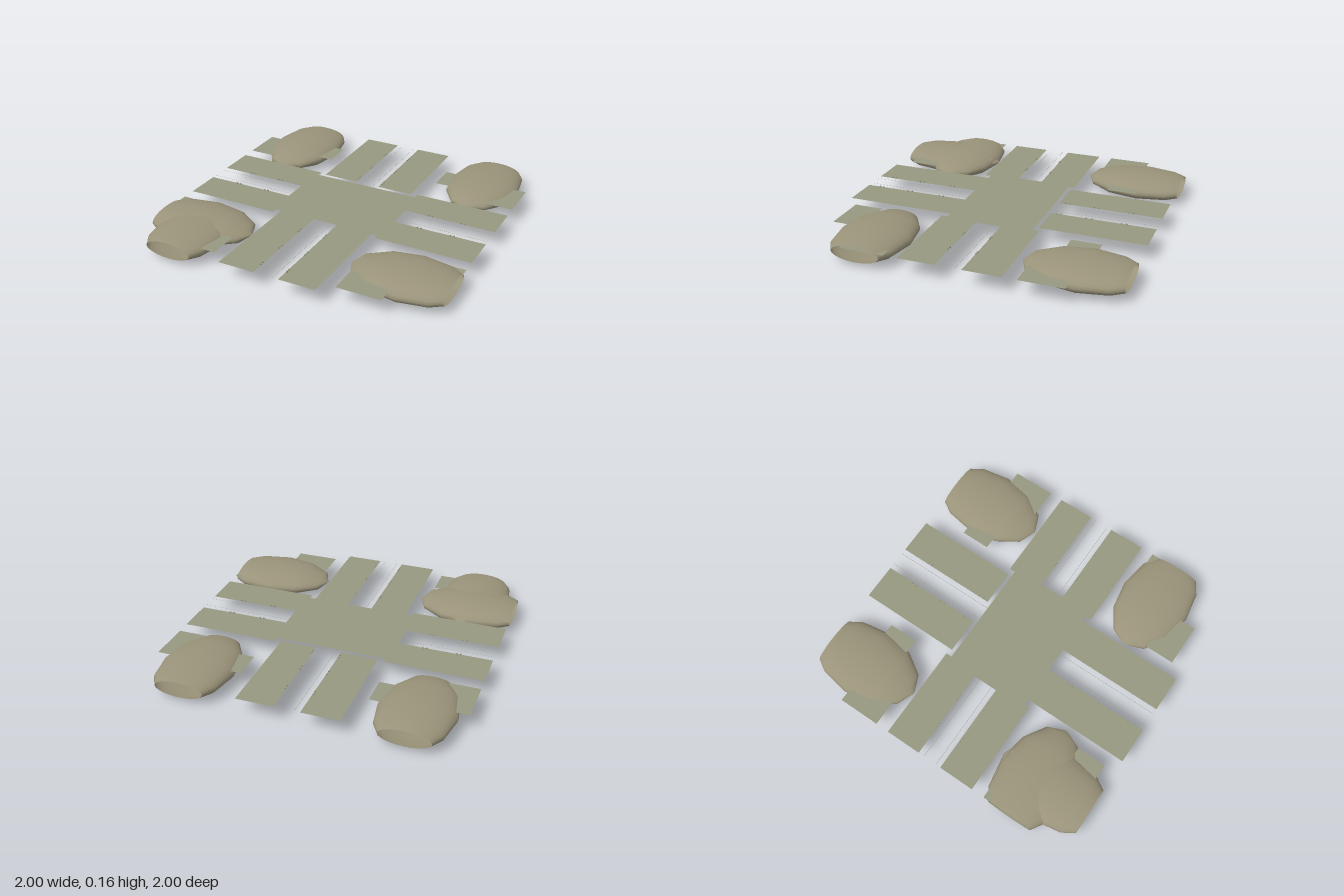
import * as THREE from 'three';

const FLOOR = 0.107;
const paving = new THREE.MeshStandardMaterial({ color: 0x969880, side: THREE.DoubleSide });
const foliage = new THREE.MeshStandardMaterial({ color: 0x9a937a, side: THREE.DoubleSide });

// Flat horizontal rectangle given by its bounds
function slab(parent, name, x0, x1, z0, z1) {
  const g = new THREE.PlaneGeometry(Math.abs(x1 - x0), Math.abs(z1 - z0)).rotateX(-Math.PI / 2);
  const m = new THREE.Mesh(g, paving);
  m.position.set((x0 + x1) / 2, FLOOR, (z0 + z1) / 2);
  m.name = name;
  parent.add(m);
}

// Flattened ellipsoid, cut open at the outer edge of the tile (+z before turning)
function moundGeometry() {
  const profile = [0, 30, 60, 90, 120].map(d => {
    const t = THREE.MathUtils.degToRad(d);
    return new THREE.Vector2(Math.sin(t), -Math.cos(t));
  });
  profile.push(new THREE.Vector2(0.66, 0.71));
  return new THREE.LatheGeometry(profile, 24).rotateX(Math.PI / 2).scale(0.24, 0.079, 0.38);
}

// Thin kerb line that runs in along one road, turns the corner and runs out along the other
function kerbGeometry(sx, sz) {
  const path = [[1, 0.045], [0.08, 0.045]];
  for (let i = 1; i <= 4; i++) {
    const a = (i / 5) * Math.PI / 2;
    path.push([0.08 - 0.035 * Math.sin(a), 0.08 - 0.035 * Math.cos(a)]);
  }
  path.push([0.045, 0.08], [0.045, 1]);
  const pos = [], idx = [];
  path.forEach(([x, z], i) => {
    // step sideways, diagonally, so both straight runs keep their width
    pos.push(sx * x, FLOOR, sz * z, sx * (Math.min(x + 0.002, 1)), FLOOR, sz * (Math.min(z + 0.002, 1)));
    if (i) {
      const k = 2 * i;
      if (sx * sz > 0) idx.push(k - 2, k, k - 1, k - 1, k, k + 1);
      else idx.push(k - 2, k - 1, k, k - 1, k + 1, k);
    }
  });
  const g = new THREE.BufferGeometry();
  g.setAttribute('position', new THREE.Float32BufferAttribute(pos, 3));
  g.setIndex(idx);
  g.computeVertexNormals();
  return g;
}

export function createModel() {
  const model = new THREE.Group();

  // Crossing and the strips on both sides of each road
  slab(model, 'crossing', -0.39, 0.39, -0.29, 0.285);
  for (const s of [-1, 1]) {
    slab(model, 'backStrip', s * 0.083, s * 0.325, -1, -0.315);
    slab(model, 'frontStrip', s * 0.083, s * 0.325, 0.285, 1);
    slab(model, 'sideStripBack', s * 0.39, s, -0.33, -0.087);
    slab(model, 'sideStripFront', s * 0.39, s, 0.08, 0.322);
    // ends of the side strips that reach past the crossing's corners
    slab(model, 'stripEndBack', s * 0.365, s * 0.39, -0.33, -0.29);
    slab(model, 'stripEndFront', s * 0.365, s * 0.39, 0.285, 0.322);
    // corner plots
    slab(model, 'backOuterPlot', s * 0.7, s, -0.7, -0.42);
    slab(model, 'backInnerPlot', s * 0.41, s * 0.7, -0.745, -0.55);
    slab(model, 'frontOuterPlot', s * 0.7, s, 0.41, 0.7);
    slab(model, 'frontInnerPlot', s * 0.41, s * 0.695, 0.725, 0.92);
  }

  // Kerb lines in four corners
  for (const sx of [-1, 1]) for (const sz of [-1, 1]) {
    const kerb = new THREE.Mesh(kerbGeometry(sx, sz), paving);
    kerb.name = 'kerbLine';
    model.add(kerb);
  }

  // Mounds: x, z, turn
  const mound = moundGeometry();
  const q = Math.PI / 2;
  [[-0.7, -0.73, Math.PI], [0.7, -0.73, Math.PI],
    [0.73, 0.6, q], [-0.73, 0.6, -q], [-0.7, 0.73, 0]].forEach(([x, z, turn]) => {
    const m = new THREE.Mesh(mound, foliage);
    m.position.set(x, 0.079, z);
    m.rotation.y = turn;
    m.name = 'mound';
    model.add(m);
  });

  // Pairs of small studs along the road edges
  const stud = new THREE.BoxGeometry(0.009, 0.009, 0.009);
  const addStud = (x, z) => {
    const m = new THREE.Mesh(stud, paving);
    m.position.set(x, 0.11, z);
    m.name = 'stud';
    model.add(m);
  };
  for (const s of [-1, 1]) {
    for (const z of [-0.81, -0.78, -0.585, -0.55, -0.385, -0.355, 0.44, 0.47, 0.67, 0.7, 0.885, 0.91]) {
      addStud(s * 0.09, z);
    }
    for (const x of [0.55, 0.575, 0.77, 0.795]) {
      addStud(s * x, -0.092);
      addStud(s * x, 0.086);
    }
  }
  return model;
}
